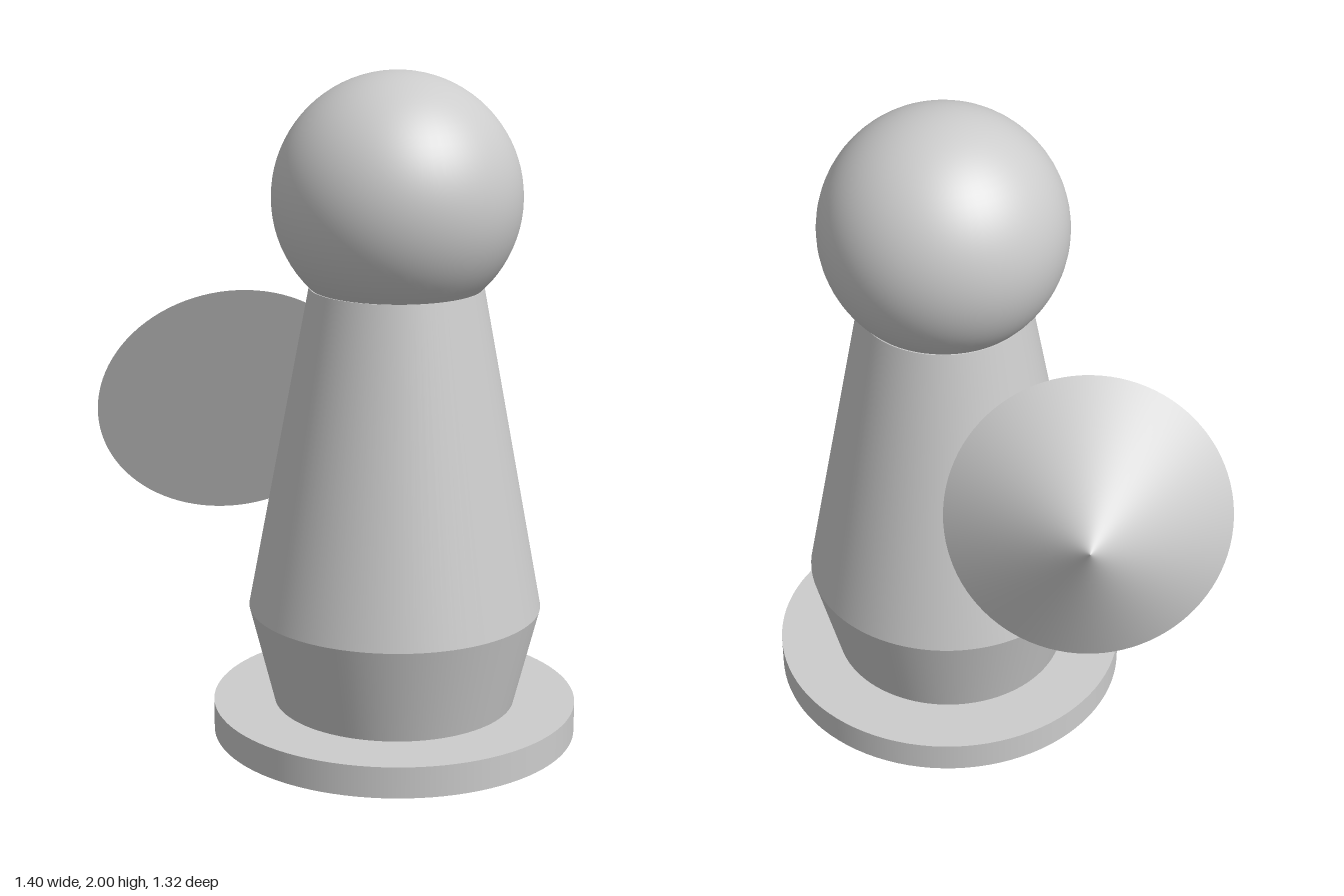
import * as THREE from 'three';

export function createModel() {
  const model = new THREE.Group();
  model.name = 'pawnWithCone';
  const grey = new THREE.MeshStandardMaterial({ color: 0xcccccc });
  grey.name = 'light grey';

  const add = (parent, name, geometry, x, y, z) => {
    const mesh = new THREE.Mesh(geometry, grey);
    mesh.name = name;
    mesh.position.set(x, y, z);
    parent.add(mesh);
    return mesh;
  };

  // Pawn figure, standing off-centre
  const figure = new THREE.Group();
  figure.name = 'figure';
  figure.position.set(0.15, 0, 0.11);
  model.add(figure);

  // Stacked round sections: name, bottom radius, top radius, bottom y, top y
  const sections = [
    ['base', 0.55, 0.55, 0, 0.095],
    ['lowerBody', 0.365, 0.44, 0.095, 0.395],
    ['upperBody', 0.44, 0.257, 0.395, 1.37],
  ];
  for (const [name, bottom, top, y0, y1] of sections) {
    add(figure, name, new THREE.CylinderGeometry(top, bottom, y1 - y0, 96), 0, (y0 + y1) / 2, 0);
  }
  add(figure, 'head', new THREE.SphereGeometry(0.366, 64, 40), 0, 1.634, 0);

  // Tilted cone floating behind; its origin is the centre of its round face
  const coneGeometry = new THREE.ConeGeometry(0.422, 0.363, 96, 16).translate(0, 0.1815, 0);
  const cone = add(model, 'backCone', coneGeometry, -0.28, 0.93, -0.325);
  cone.rotation.x = -1.175;

  return model;
}
